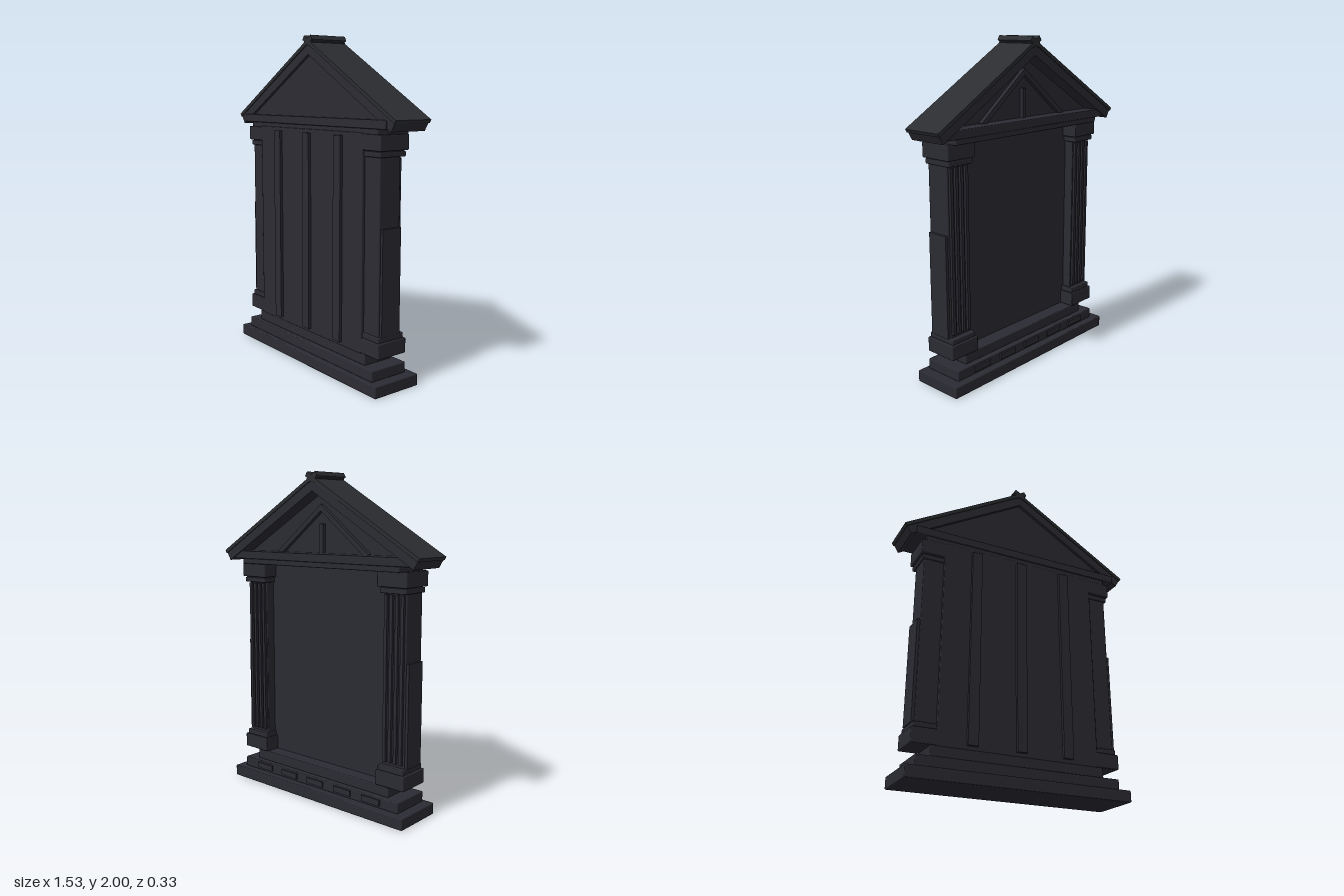
import * as THREE from 'three';
import { RoundedBoxGeometry } from 'three/addons/geometries/RoundedBoxGeometry.js';

export function createModel() {
  const model = new THREE.Group();
  model.name = 'templeFacade';
  const stone = new THREE.MeshStandardMaterial({ color: 0x2b2b33 });
  stone.name = 'darkStone';
  const slate = new THREE.MeshStandardMaterial({ color: 0x2b2d30 });
  slate.name = 'roofSlate';

  // Block given by its extents; larger blocks get a tiny worn edge
  function block(name, x0, x1, y0, y1, z0, z1, parent = model) {
    const w = x1 - x0, h = y1 - y0, d = z1 - z0;
    const geo = Math.min(w, h, d) > 0.028
      ? new RoundedBoxGeometry(w, h, d, 1, 0.006)
      : new THREE.BoxGeometry(w, h, d);
    const mesh = new THREE.Mesh(geo, stone);
    mesh.position.set((x0 + x1) / 2, (y0 + y1) / 2, (z0 + z1) / 2);
    mesh.name = name;
    parent.add(mesh);
  }

  // Stepped base
  block('lowerStep', -0.69, 0.69, 0, 0.07, -0.163, 0.163);
  block('middleStep', -0.63, 0.63, 0.07, 0.135, -0.12, 0.135);
  block('upperStep', -0.54, 0.54, 0.135, 0.2, -0.09, 0.11);
  for (let i = -2; i <= 2; i++) {
    const x = i * 0.22;
    block('stepPlaque', x - 0.065, x + 0.065, 0.088, 0.124, -0.132, -0.115);
  }

  // Wall panel with three vertical battens
  block('wallPanel', -0.505, 0.505, 0.195, 1.452, 0, 0.11);
  for (const x of [-0.3, 0, 0.3])
    block('wallBatten', x - 0.032, x + 0.032, 0.22, 1.43, 0.1, 0.128);

  // Square columns with ribs on the open side
  for (const s of [-1, 1]) {
    const column = new THREE.Group();
    column.name = s > 0 ? 'leftColumn' : 'rightColumn';
    column.position.x = s * 0.55;
    model.add(column);
    block('plinth', -0.102, 0.102, 0.2, 0.29, -0.1, 0.11, column);
    block('baseMoulding', -0.09, 0.09, 0.288, 0.322, -0.09, 0.1, column);
    block('shaft', -0.078, 0.078, 0.31, 1.33, -0.06, 0.09, column);
    block('neckMoulding', -0.09, 0.09, 1.322, 1.353, -0.09, 0.1, column);
    block('neck', -0.08, 0.08, 1.35, 1.36, -0.08, 0.09, column);
    block('capital', -0.102, 0.102, 1.357, 1.446, -0.1, 0.11, column);
    for (let i = 0; i < 4; i++) {
      const x = -0.057 + i * 0.038;
      block('shaftRib', x - 0.01, x + 0.01, 0.34, 1.315, -0.076, -0.055, column);
    }
    const plateX = s * 0.085;
    block('sidePlate', plateX - 0.01, plateX + 0.01, 0.32, 0.932, -0.055, 0.08, column);
  }

  // Beam over the columns
  block('lintel', -0.62, 0.62, 1.443, 1.48, -0.128, 0.105);
  block('corniceBeam', -0.69, 0.69, 1.475, 1.525, -0.135, 0.115);

  // Triangular gable wall
  const tri = new THREE.Shape();
  tri.moveTo(-0.64, 1.52);
  tri.lineTo(0.64, 1.52);
  tri.lineTo(0, 1.91);
  tri.closePath();
  const gable = new THREE.Mesh(
    new THREE.ExtrudeGeometry(tri, { depth: 0.125, bevelEnabled: false }), stone);
  gable.position.z = -0.04;
  gable.name = 'gable';
  model.add(gable);

  // Bar sloping down to one side; its top edge runs from `start` to `end`
  // (measured along the slope) on a line through (0, topY)
  function slopeBar(name, side, angle, topY, start, end, thick, z0, z1, material) {
    const mesh = new THREE.Mesh(new THREE.BoxGeometry(end - start, thick, z1 - z0), material);
    const mid = (start + end) / 2;
    mesh.position.set(
      side * (Math.cos(angle) * mid - Math.sin(angle) * thick / 2),
      topY - Math.sin(angle) * mid - Math.cos(angle) * thick / 2,
      (z0 + z1) / 2);
    mesh.rotation.z = -side * angle;
    mesh.name = name;
    model.add(mesh);
  }

  // Roof slopes, crossed ridge caps and the small truss in the open gable
  const pitch = 0.534;
  for (const s of [-1, 1]) {
    slopeBar('roofCovering', s, pitch, 1.977, 0, 0.888, 0.022, -0.15, 0.11, slate);
    slopeBar('roofSlab', s, pitch, 1.955, -0.013, 0.873, 0.056, -0.144, 0.104, stone);
    slopeBar('ridgeCap', s, pitch, 1.982, -0.036, 0.04, 0.03, -0.15, 0.11, slate);
    slopeBar('trussRafter', s, 0.67, 1.815, 0, 0.46, 0.03, -0.066, -0.03, stone);
  }
  block('trussPost', -0.014, 0.014, 1.52, 1.7, -0.062, -0.03);

  return model;
}
